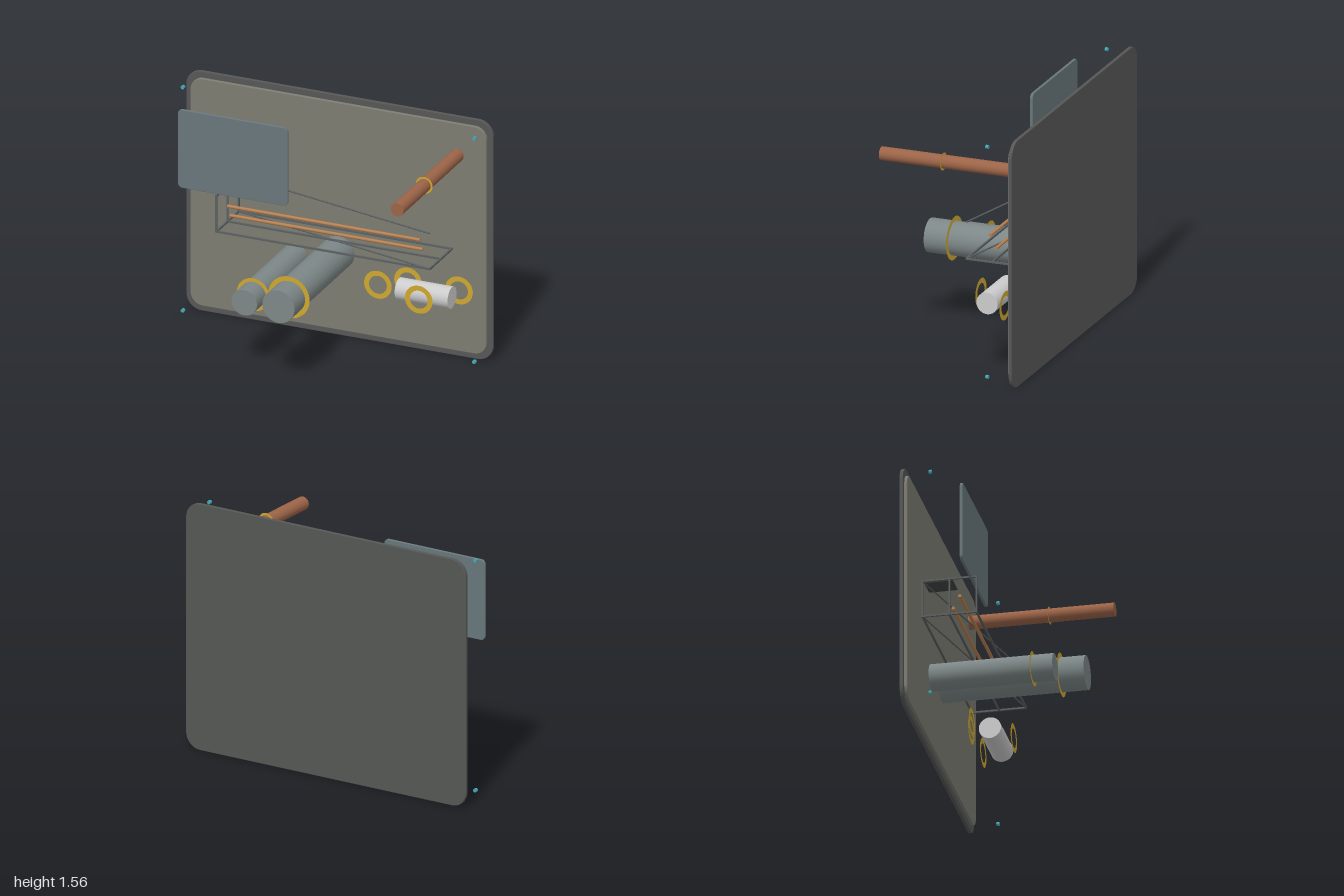
import * as THREE from 'three';

const mat = (color, side = THREE.FrontSide) => new THREE.MeshStandardMaterial({ color, side });
const M = {
  plate: mat(0x555755), face: mat(0x7c7c72), screen: mat(0x68777b), drum: mat(0x7d8787),
  copper: mat(0x9c6448), bar: mat(0xb8804f), gold: mat(0xcfa72f, THREE.DoubleSide),
  teal: mat(0x45a8b8), frame: mat(0x5c6060), lid: mat(0x404442), grey: mat(0xcccccc),
};

export function createModel() {
  const root = new THREE.Group();
  root.name = 'wallPanelAssembly';

  const add = (name, geometry, material, x = 0, y = 0, z = 0) => {
    const mesh = new THREE.Mesh(geometry, material);
    mesh.name = name;
    mesh.position.set(x, y, z);
    root.add(mesh);
    return mesh;
  };

  // Rounded slab between two z values, with a slim bevel
  const slab = (name, material, x0, x1, y0, y1, z0, z1, r) => {
    const b = 0.004, w = (x1 - x0) / 2 - b, h = (y1 - y0) / 2 - b, q = r - b;
    const s = new THREE.Shape();
    s.absarc(w - q, h - q, q, 0, Math.PI / 2);
    s.absarc(q - w, h - q, q, Math.PI / 2, Math.PI);
    s.absarc(q - w, q - h, q, Math.PI, Math.PI * 1.5);
    s.absarc(w - q, q - h, q, Math.PI * 1.5, Math.PI * 2);
    const g = new THREE.ExtrudeGeometry(s, {
      depth: z1 - z0 - 2 * b, bevelThickness: b, bevelSize: b, bevelSegments: 2, curveSegments: 10,
    });
    return add(name, g, material, (x0 + x1) / 2, (y0 + y1) / 2, z0 + b);
  };

  // Round rod between two points
  const rod = (name, material, a, b, r, sides = 40) => {
    const p = new THREE.Vector3(...a), q = new THREE.Vector3(...b);
    const d = q.clone().sub(p);
    const mesh = add(name, new THREE.CylinderGeometry(r, r, d.length(), sides), material);
    mesh.position.copy(p).add(q).multiplyScalar(0.5);
    mesh.quaternion.setFromUnitVectors(new THREE.Vector3(0, 1, 0), d.normalize());
    return mesh;
  };

  const ring = (name, x, y, z, inner, outer) =>
    add(name, new THREE.RingGeometry(inner, outer, 48), M.gold, x, y, z);

  // Back plate, face plate and floating screen
  slab('backPlate', M.plate, -1, 1, 0, 1.56, -0.465, -0.443, 0.1);
  slab('facePlate', M.face, -0.965, 0.965, 0.04, 1.52, -0.447, -0.425, 0.08);
  slab('screen', M.screen, -0.905, -0.188, 0.94, 1.45, -0.118, -0.1, 0.03);

  // Cylinders standing out from the face plate
  rod('largeDrum', M.drum, [0, 0.547, -0.425], [0, 0.547, 0.465], 0.105);
  rod('smallDrum', M.drum, [-0.282, 0.47, -0.425], [-0.282, 0.47, 0.33], 0.083);
  rod('copperPipe', M.copper, [0.775, 1.315, -0.425], [0.775, 1.315, 0.465], 0.042);
  rod('crossCylinder', M.grey, [0.48, 0.472, -0.235], [0.825, 0.472, -0.235], 0.068);

  // Flat rings: collars on the cylinders, then the loose group
  ring('largeDrumRing', 0, 0.547, 0.308, 0.105, 0.135);
  ring('smallDrumRing', -0.282, 0.47, 0.197, 0.08, 0.106);
  ring('pipeRing', 0.775, 1.315, 0.065, 0.04, 0.055);
  [[0.31, 0.436, -0.307], [0.487, 0.472, -0.35], [0.655, 0.472, -0.127], [0.82, 0.472, -0.35]]
    .forEach(([x, y, z], i) => ring('looseRing' + (i + 1), x, y, z, 0.058, 0.09));

  // Corner pins
  for (const x of [-0.952, 0.948]) for (const y of [0.055, 1.51])
    rod('cornerPin', M.teal, [x, y, -0.296], [x, y, -0.278], 0.012, 12);

  // Wire tray: bottom rails, left uprights, end bars and diagonal braces
  const L = -0.64, R = 0.75, low = 0.71, high = 0.942, front = -0.073, back = -0.402;
  const t = 0.011;
  for (const z of [front, (front + back) / 2, back]) {
    add('trayRail', new THREE.BoxGeometry(R - L + t, t, t), M.frame, (L + R) / 2, low, z);
    add('trayUpright', new THREE.BoxGeometry(t, high - low, t), M.frame, L, (low + high) / 2, z);
  }
  for (const [x, y] of [[L, low], [L, high], [R, low]])
    add('trayEndBar', new THREE.BoxGeometry(t, t, front - back + t), M.frame, x, y, (front + back) / 2);
  for (const y of [low, high])
    rod('trayBrace', M.frame, [L, y, back], [R, y, front], 0.005, 10);
  add('trayLid', new THREE.BoxGeometry(0.14, 0.008, 0.174), M.lid, -0.545, 0.946, -0.311);

  // Copper bars running through the tray
  for (const [y, z] of [[0.837, -0.18], [0.76, -0.22]])
    rod('copperBar', M.bar, [-0.615, y, z], [0.642, y, z], 0.01, 16);

  return root;
}
